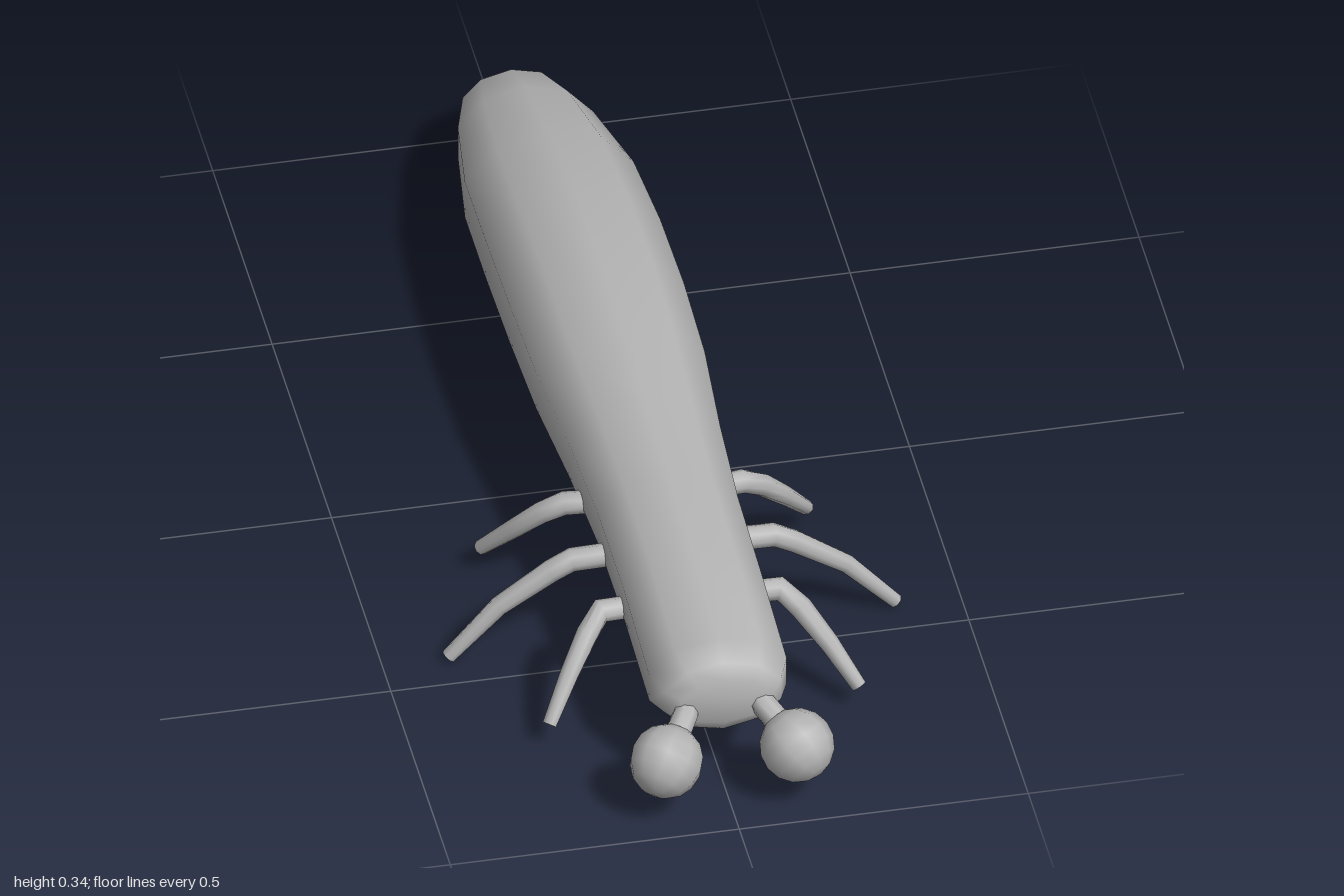
import * as THREE from 'three';
import { mergeVertices, toCreasedNormals } from 'three/addons/utils/BufferGeometryUtils.js';

const V = (x, y, z) => new THREE.Vector3(x, y, z);
const shell = new THREE.MeshStandardMaterial({ color: 0xb4b4b4 });
shell.name = 'shellGrey';

// Skin through elliptical rings {c: centre, u, v: half axes}; u x v points along the path
function loft(rings, sides) {
  const pos = [], idx = [];
  for (const { c, u, v } of rings) {
    for (let j = 0; j < sides; j++) {
      const t = Math.PI / 2 + (j / sides) * Math.PI * 2;
      const p = c.clone().addScaledVector(u, Math.cos(t)).addScaledVector(v, Math.sin(t));
      pos.push(p.x, p.y, p.z);
    }
  }
  for (let i = 0; i < rings.length - 1; i++) {
    for (let j = 0; j < sides; j++) {
      const k = (j + 1) % sides;
      const a = i * sides + j, b = i * sides + k;
      idx.push(a, b, a + sides, b, b + sides, a + sides);
    }
  }
  let g = new THREE.BufferGeometry();
  g.setAttribute('position', new THREE.Float32BufferAttribute(pos, 3));
  g.setIndex(idx);
  g = mergeVertices(g, 1e-5);
  g.computeVertexNormals();
  return g;
}

// Tapered limb through points [x, y, z, radius], with flat closed ends
function limb(points, side, sides = 8) {
  const c = points.map(([x, y, z]) => V(x * side, y, z));
  const last = c.length - 1;
  const rings = c.map((p, i) => {
    const d = c[Math.min(i + 1, last)].clone().sub(c[Math.max(i - 1, 0)]).normalize();
    const ref = Math.abs(d.y) > 0.9 ? V(0, 0, 1) : V(0, 1, 0);
    const u = ref.cross(d).normalize();
    const v = d.clone().cross(u);
    const r = points[i][3];
    return { c: p, u: u.multiplyScalar(r), v: v.multiplyScalar(r) };
  });
  const cap = (p) => ({ c: p, u: V(0, 0, 0), v: V(0, 0, 0) });
  return toCreasedNormals(loft([cap(c[0]), ...rings, cap(c[last])], sides), 1.0);
}

export function createModel() {
  const model = new THREE.Group();
  model.name = 'longBodiedBug';
  const add = (name, geometry) => {
    const m = new THREE.Mesh(geometry, shell);
    m.name = name;
    model.add(m);
    return m;
  };

  // Ten-sided body from tail to head: z, top, bottom, half width
  const sections = [
    [-1, 0.125, 0.125, 0], [-0.92, 0.2, 0.063, 0.084], [-0.8, 0.252, 0.05, 0.117],
    [-0.6, 0.302, 0.06, 0.146], [-0.4, 0.331, 0.075, 0.151], [-0.2, 0.343, 0.086, 0.151],
    [0, 0.341, 0.095, 0.146], [0.2, 0.328, 0.106, 0.131], [0.4, 0.317, 0.113, 0.121],
    [0.6, 0.307, 0.11, 0.119], [0.82, 0.276, 0.099, 0.119], [0.865, 0.255, 0.116, 0.1],
    [0.88, 0.228, 0.14, 0.075], [0.882, 0.184, 0.184, 0],
  ];
  add('body', loft(sections.map(([z, top, bottom, w]) => ({
    c: V(0, (top + bottom) / 2, z),
    u: V(w / 0.951, 0, 0),
    v: V(0, (top - bottom) / 2, 0),
  })), 10));

  // Legs: x, y, z, radius
  const legs = {
    frontLeg: [[0.08, 0.185, 0.585, 0.02], [0.155, 0.187, 0.59, 0.021], [0.185, 0.165, 0.62, 0.02],
      [0.225, 0.115, 0.662, 0.017], [0.268, 0.048, 0.706, 0.013]],
    middleLeg: [[0.08, 0.19, 0.44, 0.021], [0.175, 0.188, 0.44, 0.021], [0.21, 0.168, 0.438, 0.02],
      [0.3, 0.106, 0.436, 0.017], [0.387, 0.011, 0.434, 0.013]],
    rearLeg: [[0.08, 0.185, 0.285, 0.02], [0.155, 0.187, 0.28, 0.021], [0.19, 0.165, 0.268, 0.02],
      [0.235, 0.115, 0.24, 0.017], [0.282, 0.048, 0.193, 0.013]],
  };

  for (const side of [1, -1]) {
    const label = side > 0 ? 'left' : 'right';
    for (const [name, points] of Object.entries(legs)) add(`${label} ${name}`, limb(points, side));

    // Eye on a short stalk
    add(`${label} eyeStalk`, limb([[0.06, 0.176, 0.84, 0.024], [0.068, 0.166, 0.878, 0.022],
      [0.105, 0.125, 0.925, 0.024]], side));
    const eye = add(`${label} eye`, new THREE.SphereGeometry(0.064, 10, 8));
    eye.position.set(0.113 * side, 0.117, 0.937);
    eye.quaternion.setFromUnitVectors(V(0, 1, 0), V(0.5 * side, -0.55, 0.67).normalize());
  }
  return model;
}
